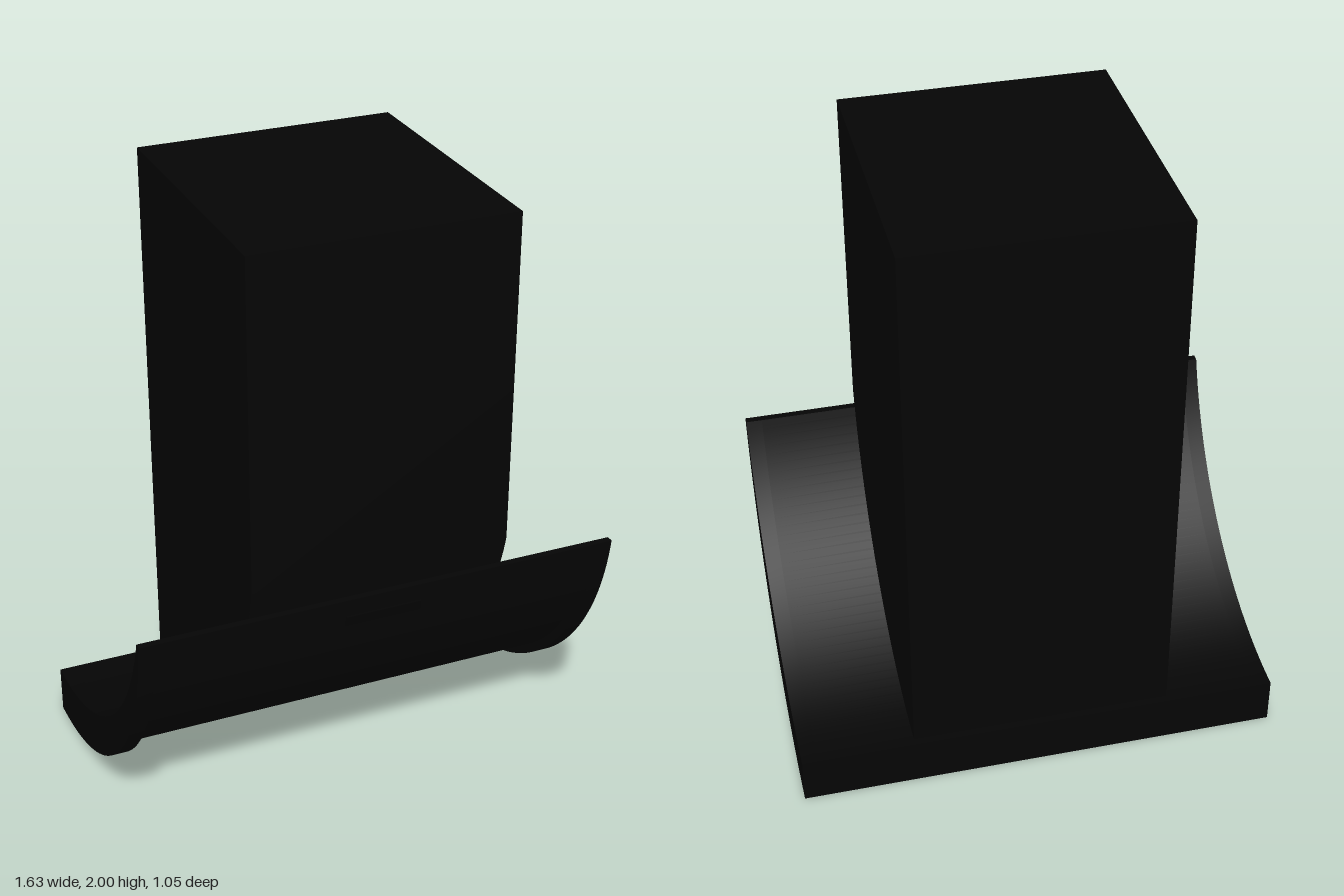
import * as THREE from 'three';
import { toCreasedNormals } from 'three/addons/utils/BufferGeometryUtils.js';

const black = new THREE.MeshStandardMaterial({ color: 0x050505 });
const darker = new THREE.MeshStandardMaterial({ color: 0x030303 });

const BACK = -0.478, HALF = 0.787, CHEEK = 0.052;

// Circular side curve as (z, y): level at the back, sweeping up to (zTop, yTop)
function sweep(yBack, zTop, yTop, n = 40) {
  const w = zTop - BACK, h = yTop - yBack;
  const r = (w * w + h * h) / (2 * h);
  const end = Math.asin(w / r);
  return Array.from({ length: n + 1 }, (_, i) => {
    const a = end * i / n;
    return new THREE.Vector2(BACK + r * Math.sin(a), yBack + r * (1 - Math.cos(a)));
  });
}

// Extrudes a side profile (z, y) across the width, centred on x
function extrudeAcross(name, points, width, x = 0) {
  let geo = new THREE.ExtrudeGeometry(new THREE.Shape(points), { depth: width, bevelEnabled: false });
  geo.translate(0, 0, -width / 2);
  geo.rotateY(-Math.PI / 2);
  geo = toCreasedNormals(geo, 0.5);
  const mesh = new THREE.Mesh(geo, black);
  mesh.name = name;
  mesh.position.x = x;
  return mesh;
}

export function createModel() {
  const model = new THREE.Group();
  model.name = 'rangeHood';
  const hood = new THREE.Group();
  hood.name = 'hoodBody';
  hood.rotation.y = -0.06;
  model.add(hood);

  const outer = sweep(0, 0.478, 0.84);
  const inner = sweep(0.16, 0.455, 0.84).reverse();

  // Canopy middle, with the filter recess sunk into its curved underside
  const inRecess = p => p.y > 0.065 && p.y < 0.56;
  const first = outer.findIndex(inRecess);
  const last = outer.findLastIndex(inRecess);
  const depth = 0.03;
  const sunk = outer.slice(first, last + 1).map((p, i) => {
    const t = outer[first + i + 1].clone().sub(outer[first + i - 1]).normalize();
    return new THREE.Vector2(p.x - t.y * depth, p.y + t.x * depth);
  });
  hood.add(extrudeAcross('curvedCanopy',
    [...outer.slice(0, first + 1), ...sunk, ...outer.slice(last), ...inner], 2 * (HALF - CHEEK)));

  // Canopy end cheeks with the full curve
  for (const side of [-1, 1]) {
    hood.add(extrudeAcross(side > 0 ? 'leftCheek' : 'rightCheek',
      [...outer, ...inner], CHEEK, side * (HALF - CHEEK / 2)));
  }

  // Chimney whose foot follows the canopy with a narrow gap
  hood.add(extrudeAcross('chimney', [...sweep(0.183, 0.45, 0.92),
    new THREE.Vector2(0.45, 2), new THREE.Vector2(BACK, 2)], 0.846));

  // Control strip near the front rim
  const controls = new THREE.Mesh(new THREE.BoxGeometry(0.25, 0.035, 0.012), darker);
  controls.name = 'controlStrip';
  controls.position.set(0, 0.76, 0.463);
  controls.rotation.x = 0.2;
  hood.add(controls);

  // Pair of round lamps underneath
  for (const side of [-1, 1]) {
    const lamp = new THREE.Mesh(new THREE.CylinderGeometry(0.036, 0.036, 0.02, 32), darker);
    lamp.name = side > 0 ? 'leftLamp' : 'rightLamp';
    lamp.position.set(side * 0.54, 0.038, -0.225);
    lamp.rotation.x = -0.26;
    hood.add(lamp);
  }
  return model;
}
